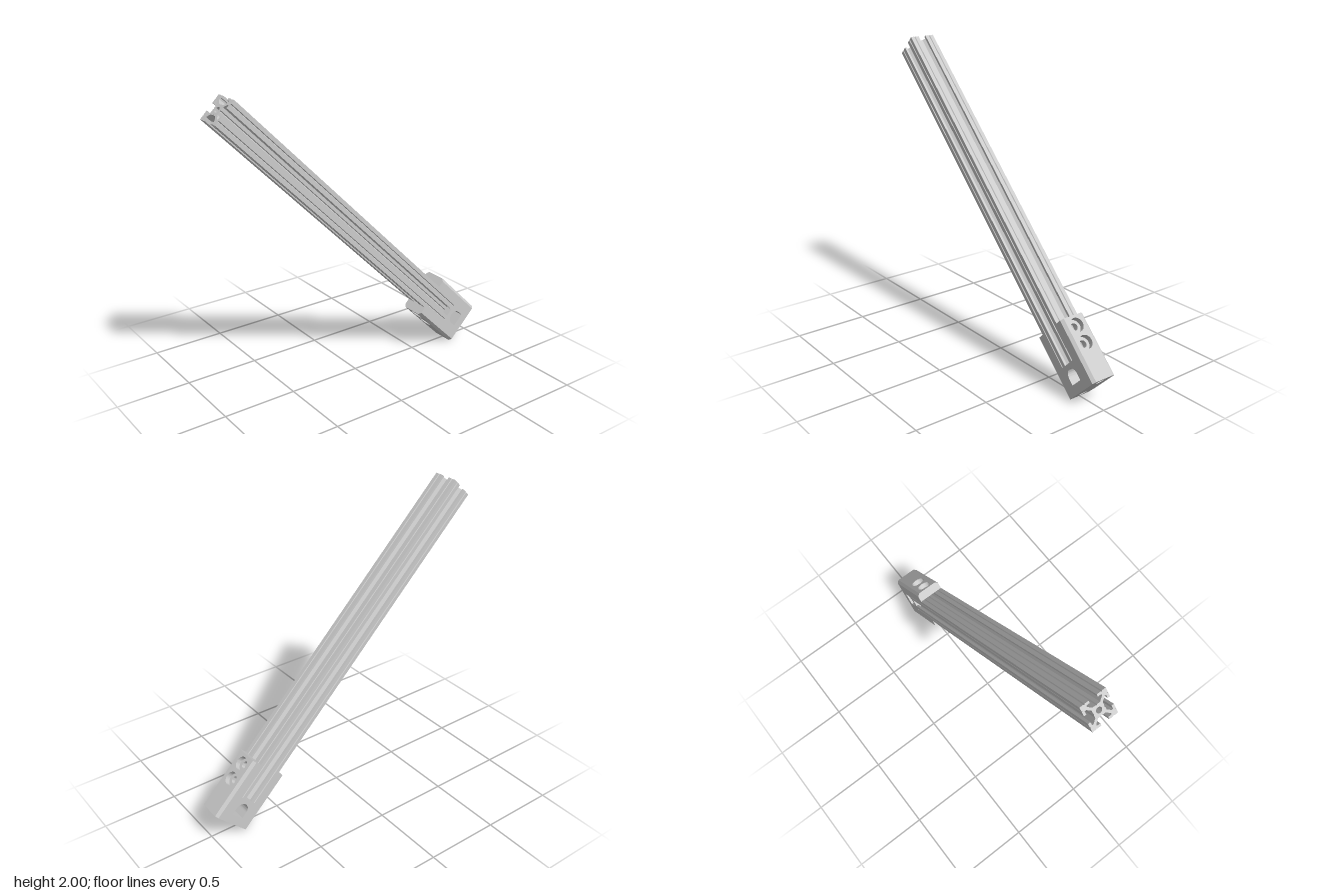
import * as THREE from 'three';
import { toCreasedNormals } from 'three/addons/utils/BufferGeometryUtils.js';

const H = 0.088;                       // half width of the beam
const W = 0.151;                       // half width of the bracket
const CH = 0.018;                      // bracket edge chamfer
const BOTTOM = -0.5565, PLATE_TOP = -0.5015, SEAT = -0.375, ARM_TOP = -0.138, BEAM_TOP = 2.033;

const material = new THREE.MeshStandardMaterial({ color: 0xcccccc });

const polygon = (pts) => new THREE.Shape(pts.map(([x, y]) => new THREE.Vector2(x, y)));

function addHole(shape, x, y, r) {
  shape.holes.push(new THREE.Path().absarc(x, y, r, 0, Math.PI * 2, true));
}

const extrude = (shape, depth) =>
  new THREE.ExtrudeGeometry(shape, { depth, bevelEnabled: false, curveSegments: 16 });

function addMesh(parent, geometry, name) {
  const mesh = new THREE.Mesh(toCreasedNormals(geometry, 0.6), material);
  mesh.name = name;
  parent.add(mesh);
  return mesh;
}

// Slotted beam: one side of the profile, repeated four times around the centre
function makeBeam() {
  const half = [
    [-H, -H], [-0.062, -H], [-0.058, -H + 0.006], [-0.054, -H],        // corner and fine groove
    [-0.027, -H], [-0.027, -H + 0.016], [-0.05, -H + 0.016],           // lip
    [-0.05, -0.062], [-0.026, -0.038], [-0.005, -0.038],               // undercut and slot floor
  ];
  const mirrored = half.slice(1).reverse().map(([x, y]) => [-x, y]);
  const side = [...half, [0, -0.033], ...mirrored];
  const pts = [];
  for (let i = 0; i < 4; i++) {
    const c = Math.round(Math.cos(i * Math.PI / 2)), s = Math.round(Math.sin(i * Math.PI / 2));
    side.forEach(([x, y]) => pts.push([x * c - y * s, x * s + y * c]));
  }
  const shape = polygon(pts);
  addHole(shape, 0, 0, 0.019);
  return extrude(shape, BEAM_TOP - SEAT).rotateX(-Math.PI / 2).translate(0, SEAT, 0);
}

// Slab of the bracket's foot: chamfered outline with two screw holes
function makeFootSlab(from, to, holeRadius) {
  const a = W, b = W - CH, c = H, d = H - CH;
  const shape = polygon([[-b, -c], [b, -c], [a, -d], [a, d], [b, c], [-b, c], [-a, d], [-a, -d]]);
  for (const x of [-0.101, 0.101]) addHole(shape, x, 0, holeRadius);
  return extrude(shape, to - from).rotateX(-Math.PI / 2).translate(0, from, 0);
}

// Layer of a side arm, stacked outwards; the outermost one is chamfered
function makeArmLayer(from, to, holeRadius, chamfered) {
  const shape = polygon([[PLATE_TOP, -H], [ARM_TOP, -H], [ARM_TOP, H], [PLATE_TOP, H]]);
  for (const v of [-0.2, -0.315]) addHole(shape, v, 0, holeRadius);
  const g = extrude(shape, to - from);
  if (chamfered) {
    const p = g.attributes.position;
    for (let i = 0; i < p.count; i++) {
      if (p.getZ(i) > (to - from) / 2) p.setY(i, THREE.MathUtils.clamp(p.getY(i), -H + CH, H - CH));
    }
  }
  const turn = new THREE.Matrix4().makeBasis(
    new THREE.Vector3(0, 1, 0), new THREE.Vector3(0, 0, 1), new THREE.Vector3(1, 0, 0));
  return g.applyMatrix4(turn).translate(from, 0, 0);
}

// Centre of the bracket with an arched window through it
function makeCore() {
  const shape = polygon([[-H, PLATE_TOP], [H, PLATE_TOP], [H, SEAT], [-H, SEAT]]);
  const r = 0.047, flat = -0.497, arch = -0.453;
  const windowPath = new THREE.Path();
  windowPath.moveTo(-r, flat);
  windowPath.lineTo(r, flat);
  windowPath.lineTo(r, arch);
  windowPath.absarc(0, arch, r, 0, Math.PI, false);
  windowPath.closePath();
  shape.holes.push(windowPath);
  return extrude(shape, 2 * H).translate(0, 0, -H);
}

export function createModel() {
  const model = new THREE.Group();
  model.name = 'slottedBeamWithBracket';

  // Everything is built upright, then leaned over by 45 degrees
  const leaning = new THREE.Group();
  leaning.name = 'leaningAssembly';
  leaning.rotation.z = Math.PI / 4;
  leaning.position.set(0.5, 0.5, 0);
  model.add(leaning);

  addMesh(leaning, makeBeam(), 'slottedBeam');

  const bracket = new THREE.Group();
  bracket.name = 'bracket';
  leaning.add(bracket);
  const step = BOTTOM + 0.035;
  addMesh(bracket, makeFootSlab(BOTTOM, step, 0.03), 'footOuter');
  addMesh(bracket, makeFootSlab(step, PLATE_TOP, 0.016), 'footInner');
  addMesh(bracket, makeCore(), 'bracketCore');

  // Two arms with counterbored bolt holes
  for (const [name, angle] of [['leftArm', 0], ['rightArm', Math.PI]]) {
    const arm = new THREE.Group();
    arm.name = name;
    arm.rotation.y = angle;
    addMesh(arm, makeArmLayer(H, 0.115, 0.024, false), 'armInner');
    addMesh(arm, makeArmLayer(0.115, W - CH, 0.045, false), 'armMiddle');
    addMesh(arm, makeArmLayer(W - CH, W, 0.045, true), 'armOuter');
    bracket.add(arm);
  }
  return model;
}
